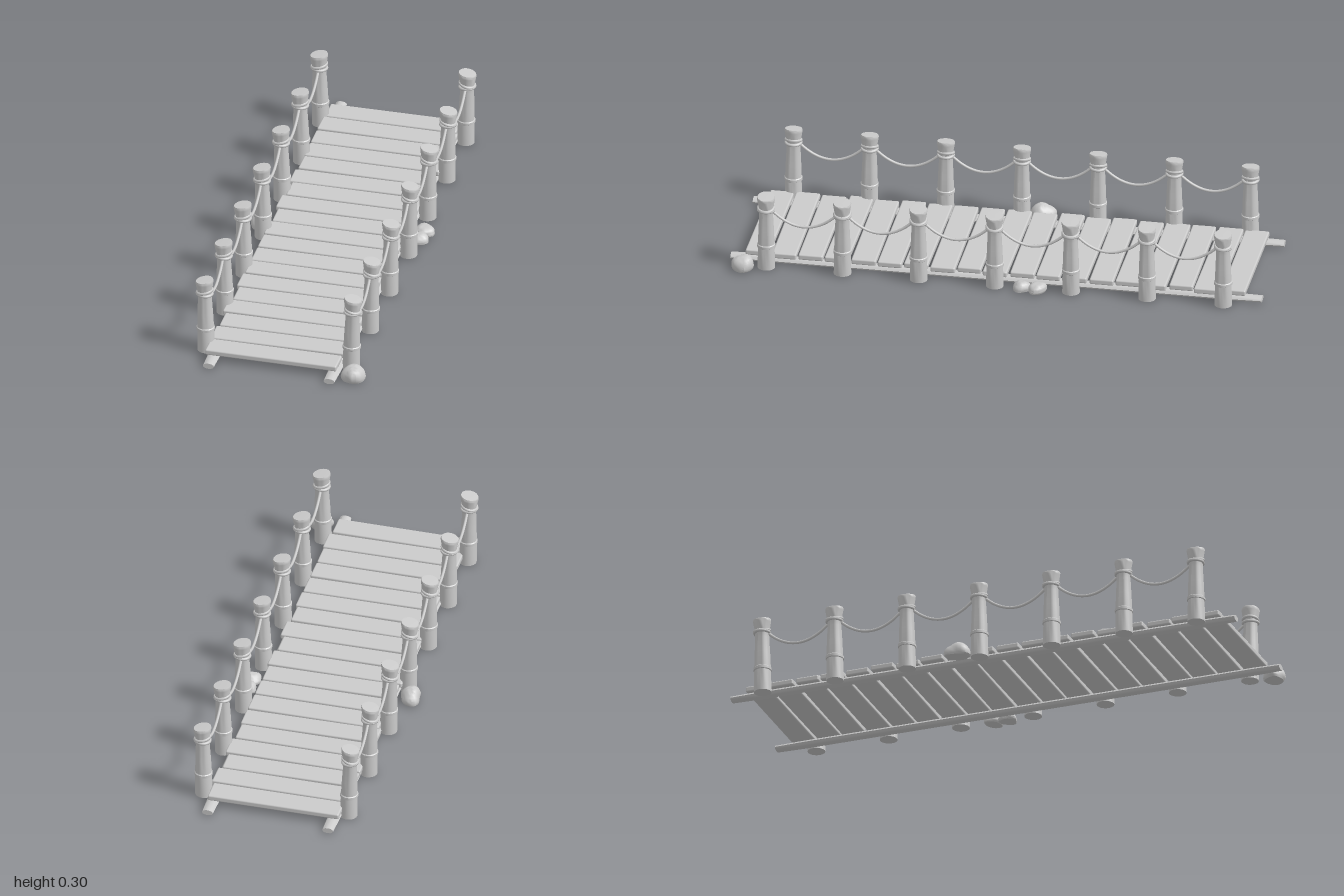
import * as THREE from 'three';
import { toCreasedNormals } from 'three/addons/utils/BufferGeometryUtils.js';
import { RoundedBoxGeometry } from 'three/addons/geometries/RoundedBoxGeometry.js';

const material = new THREE.MeshStandardMaterial({ color: 0xcccccc });
const POSTS = 7;
const postZ = i => -0.862 + i * 0.2868;

function add(parent, name, geometry, x = 0, y = 0, z = 0) {
  const mesh = new THREE.Mesh(geometry, material);
  mesh.name = name;
  mesh.position.set(x, y, z);
  parent.add(mesh);
  return mesh;
}

// Move every vertex by a rule
function warp(geometry, rule) {
  const p = geometry.attributes.position, v = new THREE.Vector3();
  for (let i = 0; i < p.count; i++) {
    rule(v.fromBufferAttribute(p, i));
    p.setXYZ(i, v.x, v.y, v.z);
  }
  return toCreasedNormals(geometry, 0.7);
}

// Post with a collar, a narrow neck, a flared head and a slanted top
function postGeometry(side) {
  const profile = [
    [0, 0.003], [0.033, 0.003], [0.031, 0.088], [0.034, 0.09], [0.034, 0.1], [0.031, 0.103],
    [0.029, 0.16], [0.026, 0.22], [0.027, 0.25], [0.033, 0.285], [0.034, 0.293], [0.032, 0.298], [0, 0.299]
  ].map(([r, y]) => new THREE.Vector2(r, y));
  return warp(new THREE.LatheGeometry(profile, 20), v => {
    if (v.y > 0.26) v.y -= side * v.x * 0.15 * (v.y - 0.26) / 0.035;
    v.x += side * 0.007 * v.y / 0.3;
  });
}

// Lumpy stone with a flattened underside
function rockGeometry(w, h, d, seed) {
  return warp(new THREE.SphereGeometry(1, 18, 12), v => {
    const k = 1 + 0.09 * Math.sin(3 * v.x + seed) + 0.08 * Math.sin(4 * v.z + seed * 2 + v.y * 2);
    v.multiplyScalar(k);
    v.y = Math.max(v.y, -0.4);
    v.set(v.x * w / 2, (v.y + 0.4) * h / 1.4, v.z * d / 2);
  });
}

export function createModel() {
  const model = new THREE.Group();
  model.name = 'ropeBridge';

  // Deck planks, slightly uneven in length, turn and spacing
  const deck = new THREE.Group();
  deck.name = 'deck';
  model.add(deck);
  for (let i = 0; i < 19; i++) {
    const wave = Math.sin(i * 2.4);
    const length = 0.502 + (i % 2) * 0.014;
    const plank = add(deck, 'plank', new RoundedBoxGeometry(length, 0.022, 0.091 + 0.002 * wave, 2, 0.006),
      -0.014 + 0.004 * wave, 0.037, -0.893 + i * 0.0995);
    plank.rotation.y = 0.007 * Math.sin(i * 4.1);
  }

  // Flattened log beams beneath the deck
  for (const x of [-0.24, 0.221]) {
    const log = new THREE.CylinderGeometry(1, 1, 2, 12, 20);
    log.rotateX(Math.PI / 2);
    const beam = warp(log, v => {
      const end = Math.abs(v.z) > 0.99 ? 0.88 : 1;
      v.x *= 0.024 * end;
      v.y *= 0.0125 * end;
    });
    add(model, 'beam', beam, x, 0.0145);
  }

  // A row of posts and sagging ropes on each side
  for (const side of [-1, 1]) {
    const x = side < 0 ? -0.284 : 0.27;
    const row = new THREE.Group();
    row.name = side < 0 ? 'rightRailing' : 'leftRailing';
    model.add(row);
    const post = postGeometry(side);
    const loop = new THREE.TorusGeometry(0.028, 0.006, 8, 24);
    loop.rotateX(Math.PI / 2);
    for (let i = 0; i < POSTS; i++) {
      const z = postZ(i);
      add(row, 'post', post, x, 0, z);
      // Two crossing turns of rope around the neck
      add(row, 'ropeLoop', loop, x + side * 0.006, 0.252, z).rotation.z = -side * 0.25;
      add(row, 'ropeLoop', loop, x + side * 0.006, 0.242, z).rotation.z = side * 0.06;
      if (i === POSTS - 1) continue;
      const points = [];
      for (let k = 0; k <= 8; k++) {
        const t = k / 8, u = 2 * t - 1;
        points.push(new THREE.Vector3(x + side * 0.004, 0.182 + 0.056 * u * u,
          z + 0.024 + t * (0.2868 - 0.048)));
      }
      add(row, 'rope', new THREE.TubeGeometry(new THREE.CatmullRomCurve3(points), 24, 0.0055, 8));
    }
  }

  // Stones beside the bridge: x, z, width, height, depth, turn
  const stones = [
    [0.299, 0.943, 0.094, 0.053, 0.082, 0.3],
    [-0.312, -0.077, 0.078, 0.051, 0.092, 0.2],
    [0.291, -0.165, 0.07, 0.037, 0.07, -0.5],
    [0.283, -0.105, 0.066, 0.034, 0.07, 0.6]
  ];
  stones.forEach(([x, z, w, h, d, turn], i) => {
    add(model, 'stone', rockGeometry(w, h, d, i * 1.7 + 1), x, 0.004, z).rotation.y = turn;
  });
  return model;
}
